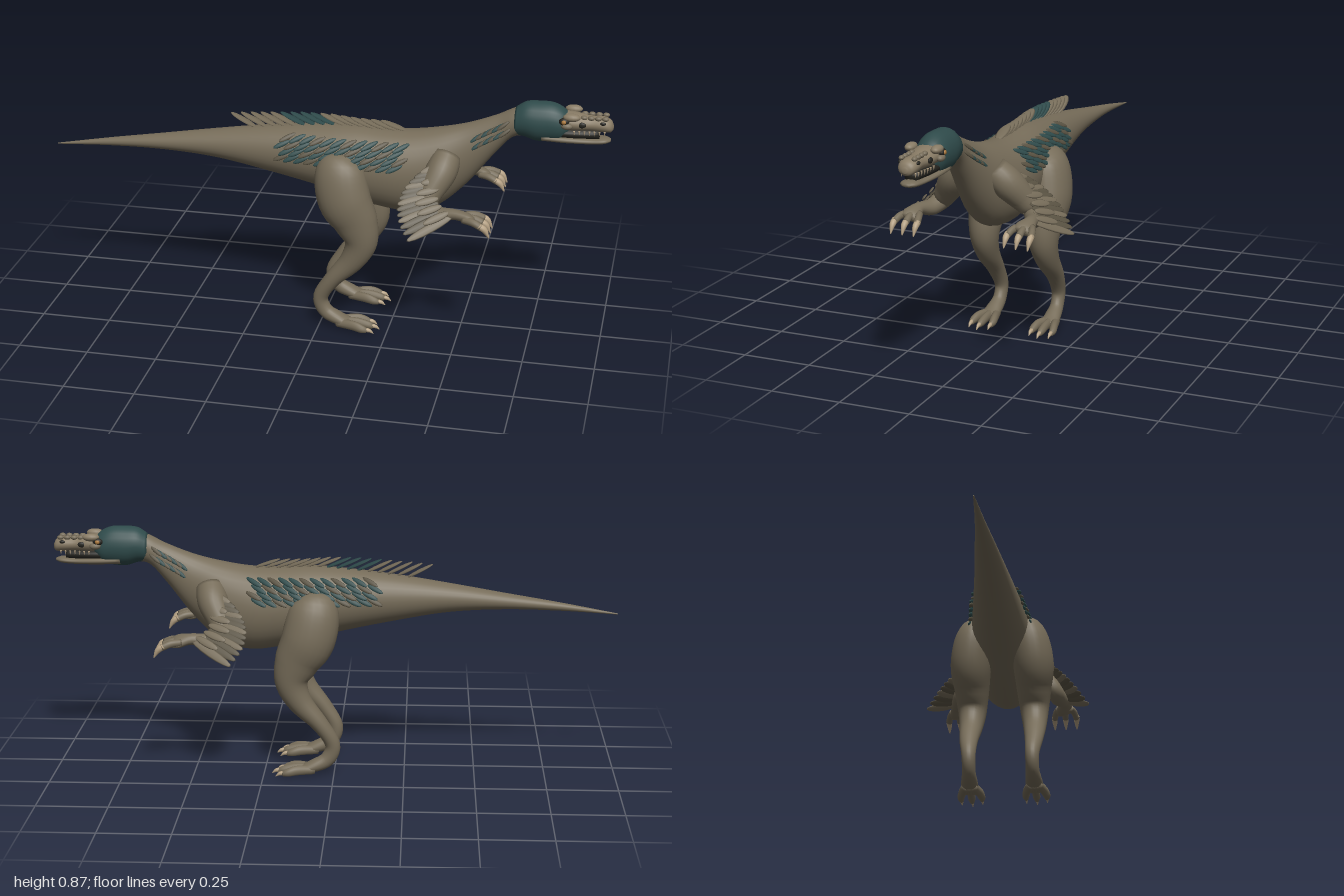
import * as THREE from 'three';

const V = (x, y, z) => new THREE.Vector3(x, y, z);
const paint = (name, color) => Object.assign(new THREE.MeshStandardMaterial({ color }), { name });

export function createModel() {
  const model = new THREE.Group();
  model.name = 'featheredDinosaur';
  const hide = paint('taupe hide', 0x766c59);
  const teal = paint('teal crest', 0x2f4b4b);
  const olive = paint('olive quill', 0x5a5343);
  const dark = paint('dark mouth', 0x25241f);
  const horn = paint('pale horn', 0xb5a184);
  const snoutTan = paint('snout tan', 0x887b65);
  const amber = paint('amber eye', 0xa8763a);

  const add = (name, geo, mat, parent = model) => {
    const mesh = new THREE.Mesh(geo, mat);
    mesh.name = name;
    parent.add(mesh);
    return mesh;
  };
  const group = (name) => {
    const g = new THREE.Group();
    g.name = name;
    model.add(g);
    return g;
  };

  // Smooth skin over elliptical rings [x, y, z, height radius, side radius]
  function loft(rings, { seg = 20, steps = 5, axis = null, ref = V(0, 0, 1) } = {}) {
    const path = new THREE.CatmullRomCurve3(rings.map(r => V(r[0], r[1], r[2])), false, 'catmullrom', 0.5);
    const size = new THREE.CatmullRomCurve3(rings.map(r => V(r[3], r[4], 0)), false, 'catmullrom', 0.5);
    const n = (rings.length - 1) * steps, pos = [], idx = [];
    for (let i = 0; i <= n; i++) {
      const c = path.getPoint(i / n), s = size.getPoint(i / n);
      const t = axis || path.getTangent(i / n);
      const u = ref.clone().addScaledVector(t, -ref.dot(t)).normalize();
      const v = t.clone().cross(u);
      for (let j = 0; j < seg; j++) {
        const a = j / seg * Math.PI * 2;
        const p = c.clone().addScaledVector(u, Math.max(s.y, 0.0005) * Math.cos(a))
          .addScaledVector(v, Math.max(s.x, 0.0005) * Math.sin(a));
        pos.push(p.x, p.y, p.z);
      }
    }
    for (let i = 0; i < n; i++) for (let j = 0; j < seg; j++) {
      const a = i * seg + j, b = i * seg + (j + 1) % seg;
      idx.push(a, b, a + seg, b, b + seg, a + seg);
    }
    const first = path.getPoint(0), last = path.getPoint(1), k = (n + 1) * seg;
    pos.push(...first.toArray(), ...last.toArray());
    for (let j = 0; j < seg; j++) {
      const m = (j + 1) % seg;
      idx.push(k, m, j, k + 1, n * seg + j, n * seg + m);
    }
    const g = new THREE.BufferGeometry();
    g.setAttribute('position', new THREE.Float32BufferAttribute(pos, 3));
    g.setIndex(idx);
    g.computeVertexNormals();
    return g;
  }
  // Rows of [x, top, bottom, half width] become upright rings
  const upright = rows => rows.map(([x, t, b, w]) => [x, (t + b) / 2, 0, (t - b) / 2, w]);
  const X = V(1, 0, 0);

  // Leaf shaped feather running from base to tip
  const leaf = new THREE.SphereGeometry(1, 8, 8).rotateZ(-Math.PI / 2).translate(1, 0, 0).scale(0.5, 1, 1);
  function feather(name, base, tip, up, width, thick, mat, parent) {
    const d = tip.clone().sub(base), len = d.length();
    d.normalize();
    const y = up.clone().addScaledVector(d, -up.dot(d)).normalize();
    const m = add(name, leaf, mat, parent);
    m.quaternion.setFromRotationMatrix(new THREE.Matrix4().makeBasis(d, y, d.clone().cross(y)));
    m.position.copy(base);
    m.scale.set(len, thick, width);
  }
  const ball = new THREE.SphereGeometry(1, 14, 10);
  function bump(name, x, y, z, rx, ry, rz, mat, parent) {
    const m = add(name, ball, mat, parent);
    m.position.set(x, y, z);
    m.scale.set(rx, ry, rz);
  }

  // Tail, torso and neck
  const profile = [
    [-1, 0.578, 0.574, 0.002], [-0.8, 0.615, 0.586, 0.016], [-0.6, 0.648, 0.59, 0.035],
    [-0.4, 0.682, 0.578, 0.055], [-0.2, 0.713, 0.543, 0.078], [0, 0.735, 0.5, 0.102],
    [0.1, 0.74, 0.468, 0.112], [0.2, 0.735, 0.447, 0.116], [0.3, 0.737, 0.436, 0.112],
    [0.4, 0.753, 0.462, 0.094], [0.5, 0.778, 0.55, 0.064], [0.6, 0.816, 0.677, 0.045],
    [0.66, 0.846, 0.742, 0.043], [0.72, 0.865, 0.75, 0.045]];
  add('body', loft(upright(profile), { seg: 32, steps: 6, axis: X }), hide);
  function bodyAt(x) {
    let i = 0;
    while (i < profile.length - 2 && profile[i + 1][0] < x) i++;
    const a = profile[i], b = profile[i + 1], f = (x - a[0]) / (b[0] - a[0]);
    const [t, l, w] = [1, 2, 3].map(k => a[k] + (b[k] - a[k]) * f);
    return { top: t, cy: (t + l) / 2, a: (t - l) / 2, b: w };
  }
  const sidePoint = (x, y, s) => {
    const r = bodyAt(x), q = (y - r.cy) / r.a;
    return V(x, y, s * r.b * Math.sqrt(Math.max(0.05, 1 - q * q)));
  };

  // Skull, jaws and mouth
  const head = group('head');
  add('skull', loft(upright([[0.665, 0.85, 0.752, 0.044], [0.7, 0.872, 0.748, 0.054], [0.74, 0.877, 0.736, 0.058],
    [0.79, 0.876, 0.738, 0.056], [0.825, 0.862, 0.745, 0.05], [0.85, 0.84, 0.77, 0.036]]), { axis: X, seg: 24 }), teal, head);
  add('upperJaw', loft(upright([[0.8, 0.85, 0.785, 0.05], [0.87, 0.846, 0.785, 0.046], [0.92, 0.838, 0.787, 0.033],
    [0.965, 0.838, 0.785, 0.034], [0.99, 0.828, 0.785, 0.026], [1, 0.81, 0.795, 0.008]]), { axis: X }), snoutTan, head);
  add('lowerJaw', loft(upright([[0.76, 0.775, 0.742, 0.048], [0.84, 0.77, 0.739, 0.045], [0.92, 0.764, 0.739, 0.034],
    [0.97, 0.766, 0.743, 0.03], [0.993, 0.76, 0.75, 0.012]]), { axis: X }), hide, head);
  add('mouthInside', loft(upright([[0.8, 0.8, 0.755, 0.042], [0.87, 0.797, 0.755, 0.038], [0.955, 0.793, 0.757, 0.023]]),
    { axis: X }), dark, head);
  const tooth = new THREE.ConeGeometry(0.004, 0.016, 6).rotateX(Math.PI);
  for (const s of [1, -1]) {
    for (let i = 0; i < 7; i++) {
      add('tooth', tooth, horn, head).position.set(0.87 + i * 0.017, 0.783, s * (0.037 - i * 0.0022));
    }
    bump('brow', 0.86, 0.843, s * 0.045, 0.03, 0.014, 0.018, snoutTan, head);
    bump('cheek', 0.845, 0.812, s * 0.05, 0.02, 0.012, 0.014, hide, head);
    bump('eyeSocket', 0.835, 0.828, s * 0.05, 0.018, 0.013, 0.012, dark, head);
    bump('eye', 0.835, 0.828, s * 0.058, 0.009, 0.008, 0.007, amber, head);
    bump('jawOpening', 0.895, 0.815, s * 0.038, 0.014, 0.01, 0.006, dark, head);
    bump('nostril', 0.965, 0.823, s * 0.031, 0.01, 0.006, 0.005, dark, head);
    for (let i = 0; i < 4; i++) bump('snoutKnob', 0.9 + i * 0.024, 0.837, s * 0.022, 0.012, 0.008, 0.009, hide, head);
  }

  // Legs and feet
  for (const s of [1, -1]) {
    const leg = group(s > 0 ? 'leftLeg' : 'rightLeg');
    const side = rows => rows.map(r => [r[0], r[1], r[2] * s, r[3], r[4]]);
    add('limb', loft(side([[0.07, 0.65, 0.075, 0.05, 0.035], [0.07, 0.6, 0.1, 0.088, 0.066], [0.09, 0.5, 0.114, 0.095, 0.074],
      [0.13, 0.42, 0.113, 0.08, 0.063], [0.15, 0.345, 0.113, 0.06, 0.052], [0.12, 0.27, 0.115, 0.044, 0.042],
      [0.05, 0.19, 0.116, 0.03, 0.033], [0.005, 0.115, 0.112, 0.027, 0.025], [0.022, 0.06, 0.112, 0.027, 0.024],
      [0.07, 0.034, 0.114, 0.023, 0.03], [0.12, 0.02, 0.116, 0.013, 0.033]]), { seg: 24 }), hide, leg);
    for (const k of [-1, 0, 1]) {
      const z = 0.116 + k * 0.037, x = k ? 0.182 : 0.197;
      add('toe', loft(side([[0.07, 0.022, 0.115 + k * 0.012, 0.016, 0.016], [0.13, 0.024, 0.115 + k * 0.03, 0.018, 0.014],
        [x - 0.02, 0.018, z, 0.015, 0.013], [x, 0.013, z, 0.009, 0.008]]), { seg: 12 }), hide, leg);
      add('toeClaw', loft(side([[x - 0.008, 0.017, z, 0.008, 0.008], [x + 0.01, 0.014, z, 0.007, 0.006],
        [x + 0.024, 0.004, z, 0.001, 0.001]]), { seg: 10 }), horn, leg);
    }
  }

  // Arms, hands and wing feathers
  for (const s of [1, -1]) {
    const arm = group(s > 0 ? 'leftArm' : 'rightArm');
    const side = rows => rows.map(r => [r[0], r[1], r[2] * s, r[3], r[4]]);
    const P = (x, y, z) => V(x, y, z * s);
    add('limb', loft(side([[0.44, 0.67, 0.05, 0.05, 0.05], [0.425, 0.625, 0.095, 0.055, 0.055], [0.395, 0.565, 0.14, 0.044, 0.044],
      [0.385, 0.525, 0.17, 0.034, 0.034], [0.43, 0.51, 0.19, 0.028, 0.03], [0.49, 0.52, 0.205, 0.019, 0.022],
      [0.535, 0.512, 0.205, 0.018, 0.034], [0.56, 0.505, 0.205, 0.01, 0.028]]), { ref: V(0.15, 0.35, 1) }), hide, arm);
    for (const k of [-1, 0, 1]) {
      const z = 0.205 + k * 0.042;
      add('finger', loft(side([[0.525, 0.512, 0.205 + k * 0.02, 0.013, 0.013], [0.56, 0.51, z - k * 0.008, 0.013, 0.012],
        [0.59, 0.498, z, 0.012, 0.012]]), { seg: 12 }), hide, arm);
      add('fingerClaw', loft(side([[0.582, 0.503, z, 0.011, 0.011], [0.602, 0.49, z, 0.011, 0.01],
        [0.618, 0.462, z, 0.002, 0.002]]), { seg: 12 }), horn, arm);
    }
    const roots = new THREE.QuadraticBezierCurve3(P(0.475, 0.67, 0.09), P(0.37, 0.55, 0.18), P(0.49, 0.52, 0.215));
    const tips = new THREE.QuadraticBezierCurve3(P(0.36, 0.635, 0.14), P(0.24, 0.55, 0.22), P(0.345, 0.45, 0.305));
    for (let i = 0; i < 13; i++) {
      const b = roots.getPoint(i / 12), t = tips.getPoint(i / 12);
      feather('wingFeather', b, t, V(0.2, 0.5, 0.6 * s), 0.016, 0.004, i % 3 ? olive : hide, arm);
      if (i % 2) feather('wingCovert', b.clone().add(P(0.004, 0.006, 0.008)), b.clone().lerp(t, 0.55).add(P(0, 0.006, 0.01)),
        V(0.2, 0.5, 0.6 * s), 0.014, 0.004, hide, arm);
    }
  }

  // Flank feathers in staggered rows, and the neck ruff
  const flank = group('flankFeathers'), ruff = group('neckFeathers');
  for (const s of [1, -1]) {
    for (let r = 0; r < 4; r++) for (let i = 0; i < 12; i++) {
      const x = -0.115 + i * 0.037 + (r % 2) * 0.018, y = 0.643 + r * 0.022;
      const base = sidePoint(x, y, s), tip = sidePoint(x - 0.055, y - 0.025, s);
      tip.z += s * 0.014;
      feather('flankFeather', base, tip, V(0, 0.4, s), 0.009, 0.004, (i + r) % 3 ? teal : olive, flank);
    }
    for (let r = 0; r < 2; r++) for (let i = 0; i < 6; i++) {
      const x = 0.565 + i * 0.018 - r * 0.006, y = 0.735 + i * 0.01 + r * 0.025;
      const base = sidePoint(x, y, s), tip = base.clone().add(V(-0.04, -0.03, s * 0.016));
      feather('neckFeather', base, tip, V(0, 0.3, s), 0.007, 0.004, i % 2 ? olive : teal, ruff);
    }
  }

  // Ridge of feathers along the spine
  const ridge = group('spineFeathers');
  for (let i = 0; i < 16; i++) {
    const x = 0.29 - i * 0.036, y = bodyAt(x).top - 0.006;
    const lift = 0.032 + i * 0.0012;
    feather('spineFeather', V(x, y, 0), V(x - 0.095, y + lift, 0), V(0, 1, 0), 0.021, 0.005,
      x < 0.06 && x > -0.1 ? teal : hide, ridge);
  }
  return model;
}
